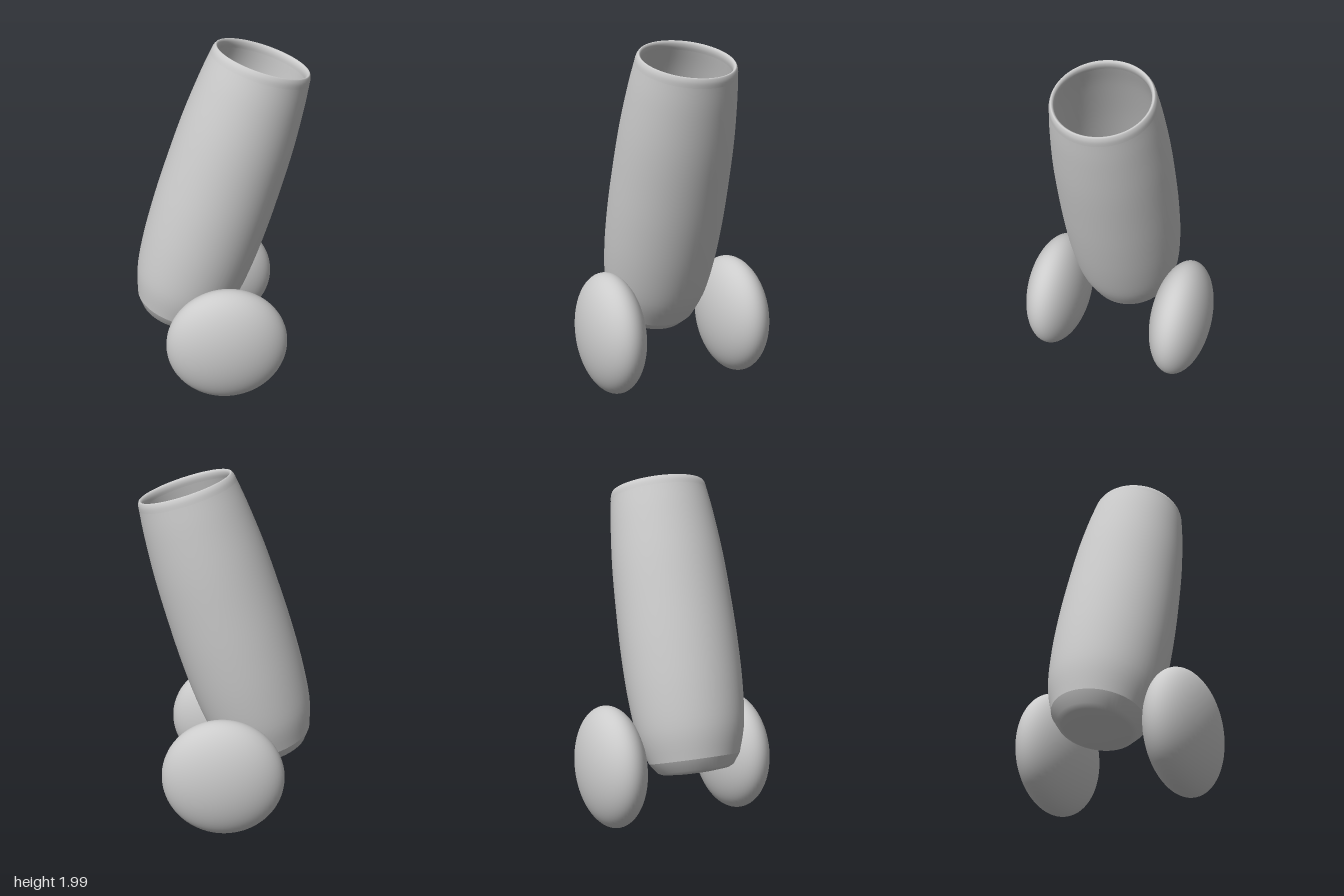
import * as THREE from 'three';

const material = new THREE.MeshStandardMaterial({ color: 0xcccccc });
const SEGMENTS = 64;

// Named lathe from [radius, height] pairs, optionally smoothed by a spline
function lathe(name, pairs, divisions = 0) {
  let points = pairs.map(([r, h]) => new THREE.Vector2(r, h));
  if (divisions) points = new THREE.SplineCurve(points).getPoints(divisions);
  points.forEach((p) => { p.x = Math.max(p.x, 0); });
  const mesh = new THREE.Mesh(new THREE.LatheGeometry(points, SEGMENTS), material);
  mesh.name = name;
  return mesh;
}

export function createModel() {
  const model = new THREE.Group();
  model.name = 'cannon';

  // Leaning barrel, modelled upright along its own axis
  const barrel = new THREE.Group();
  barrel.name = 'barrel';
  barrel.position.set(-0.336, 0.105, 0.015);
  barrel.rotation.z = THREE.MathUtils.degToRad(-17.4);

  barrel.add(
    // Flat underside with a rounded lower edge
    lathe('barrelBase', [[0, 0.24], [0.1, 0.24], [0.185, 0.248], [0.215, 0.262], [0.258, 0.32]]),
    // Bulging outer wall
    lathe('barrelWall', [[0.258, 0.32], [0.305, 0.48], [0.328, 0.7], [0.335, 0.95], [0.331, 1.2],
      [0.32, 1.46], [0.298, 1.7], [0.279, 1.84]], 32),
    // Rolled lip around the mouth
    lathe('muzzleLip', [[0.279, 1.84], [0.275, 1.868], [0.266, 1.888], [0.258, 1.89],
      [0.25, 1.88], [0.248, 1.862], [0.252, 1.84]], 24),
    // Hollow bore
    lathe('boreWall', [[0.252, 1.84], [0.275, 1.7], [0.3, 1.46], [0.311, 1.25], [0.314, 1.04]], 20),
    lathe('boreFloor', [[0.314, 1.04], [0, 1.04]])
  );
  model.add(barrel);

  // Flattened ball wheels on both sides
  for (const side of [1, -1]) {
    const wheel = new THREE.Mesh(new THREE.SphereGeometry(1, SEGMENTS, 40), material);
    wheel.name = side > 0 ? 'frontWheel' : 'backWheel';
    wheel.scale.set(0.345, 0.349, 0.174);
    wheel.position.set(0.01, 0.349, side * 0.394);
    model.add(wheel);
  }

  return model;
}
